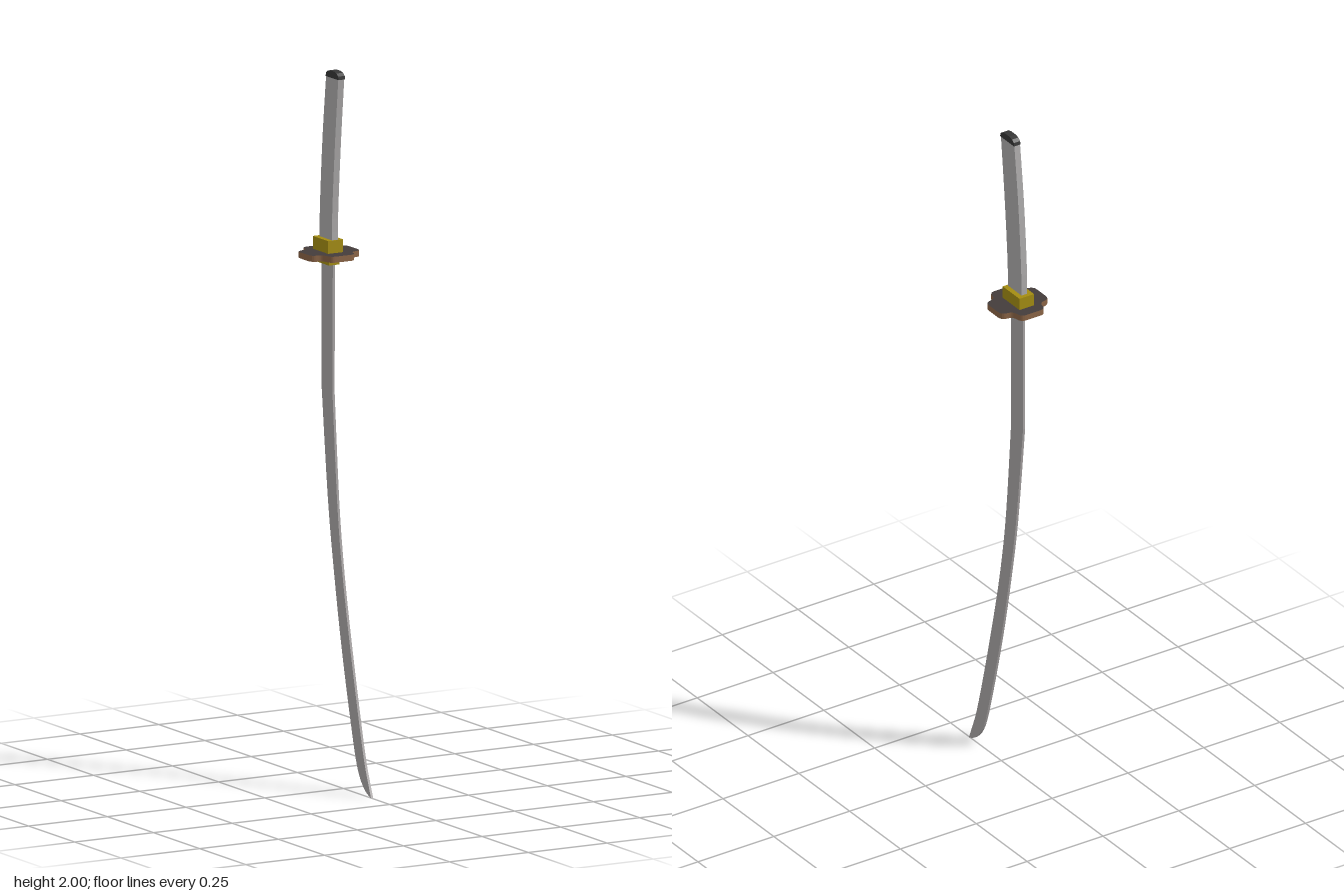
import * as THREE from 'three';

const mat = (name, color) => {
  const m = new THREE.MeshStandardMaterial({ color });
  m.name = name;
  return m;
};

// Side profile given as [z, y] points, extruded to a plate centred on x = 0
function sidePlate(points, thickness) {
  const shape = new THREE.Shape(points.map(([z, y]) => new THREE.Vector2(z, y)));
  const geo = new THREE.ExtrudeGeometry(shape, { depth: thickness, bevelEnabled: false });
  geo.translate(0, 0, -thickness / 2);
  geo.rotateY(-Math.PI / 2);
  return geo;
}

// Smooth run of points through a few [z, y] stations
function curve(stations, n) {
  const c = new THREE.SplineCurve(stations.map(([z, y]) => new THREE.Vector2(z, y)));
  return c.getPoints(n).map((p) => [p.x, p.y]);
}

// Four-lobed guard outline: one corner rule turned through four quadrants
function guardShape() {
  const s = new THREE.Shape();
  const r = 0.079;
  s.moveTo(r, -0.022);
  for (let q = 0; q < 4; q++) {
    const c = Math.round(Math.cos(q * Math.PI / 2)), n = Math.round(Math.sin(q * Math.PI / 2));
    const t = (x, y) => [x * c - y * n, x * n + y * c];
    s.lineTo(...t(r, 0.022));
    s.quadraticCurveTo(...t(r, 0.04), ...t(0.06, 0.042));
    s.quadraticCurveTo(...t(0.044, 0.044), ...t(0.042, 0.06));
    s.quadraticCurveTo(...t(0.04, r), ...t(0.022, r));
  }
  return s;
}

export function createModel() {
  const group = new THREE.Group();
  const steel = mat('blade steel', 0xa9a5a5);
  const grip = mat('grip grey', 0xacaaaa);
  const dark = mat('pommel black', 0x363636);
  const gold = mat('gold fittings', 0xa38c12);
  const iron = mat('guard iron', 0x443c3b);
  const copper = mat('guard copper rim', 0x8a6446);
  const add = (name, geo, material) => {
    const m = new THREE.Mesh(geo, material);
    m.name = name;
    group.add(m);
    return m;
  };

  // Blade: straight near the guard, sweeping forward to the tip
  const front = curve([[-0.054, 1.1], [-0.029, 0.8], [0, 0.6], [0.042, 0.4], [0.09, 0.2], [0.117, 0.1], [0.131, 0.06], [0.155, 0]], 28);
  const back = curve([[0.155, 0], [0.118, 0.02], [0.08, 0.075], [0.043, 0.2], [-0.006, 0.4], [-0.046, 0.6], [-0.079, 0.8], [-0.112, 1.1]], 28);
  add('blade', sidePlate([[-0.052, 1.47], ...front, ...back.slice(1), [-0.112, 1.47]], 0.007), steel);

  // Grip with a slight forward lean
  const gripFront = curve([[-0.012, 1.982], [-0.03, 1.8], [-0.045, 1.6], [-0.046, 1.5]], 10);
  const gripBack = curve([[-0.113, 1.5], [-0.112, 1.6], [-0.098, 1.8], [-0.078, 1.982]], 10);
  add('grip', sidePlate([...gripFront, ...gripBack], 0.019), grip);

  // Rounded pommel cap
  add('pommelCap', sidePlate([
    [-0.01, 1.98], [-0.079, 1.98], [-0.077, 1.99], [-0.068, 1.997],
    [-0.055, 2], [-0.033, 2], [-0.02, 1.997], [-0.011, 1.99],
  ].reverse(), 0.021), dark);

  // Guard plate with copper rim
  const guardGeo = new THREE.ExtrudeGeometry(guardShape(), { depth: 0.017, bevelEnabled: false, curveSegments: 6 });
  guardGeo.rotateX(-Math.PI / 2);
  add('guard', guardGeo, [iron, copper]).position.set(0, 1.473, -0.079);

  // Gold collars above and below the guard
  add('upperCollar', new THREE.BoxGeometry(0.048, 0.037, 0.083), gold).position.set(0, 1.507, -0.084);
  add('lowerCollar', new THREE.BoxGeometry(0.034, 0.022, 0.066), gold).position.set(0, 1.466, -0.083);

  return group;
}
